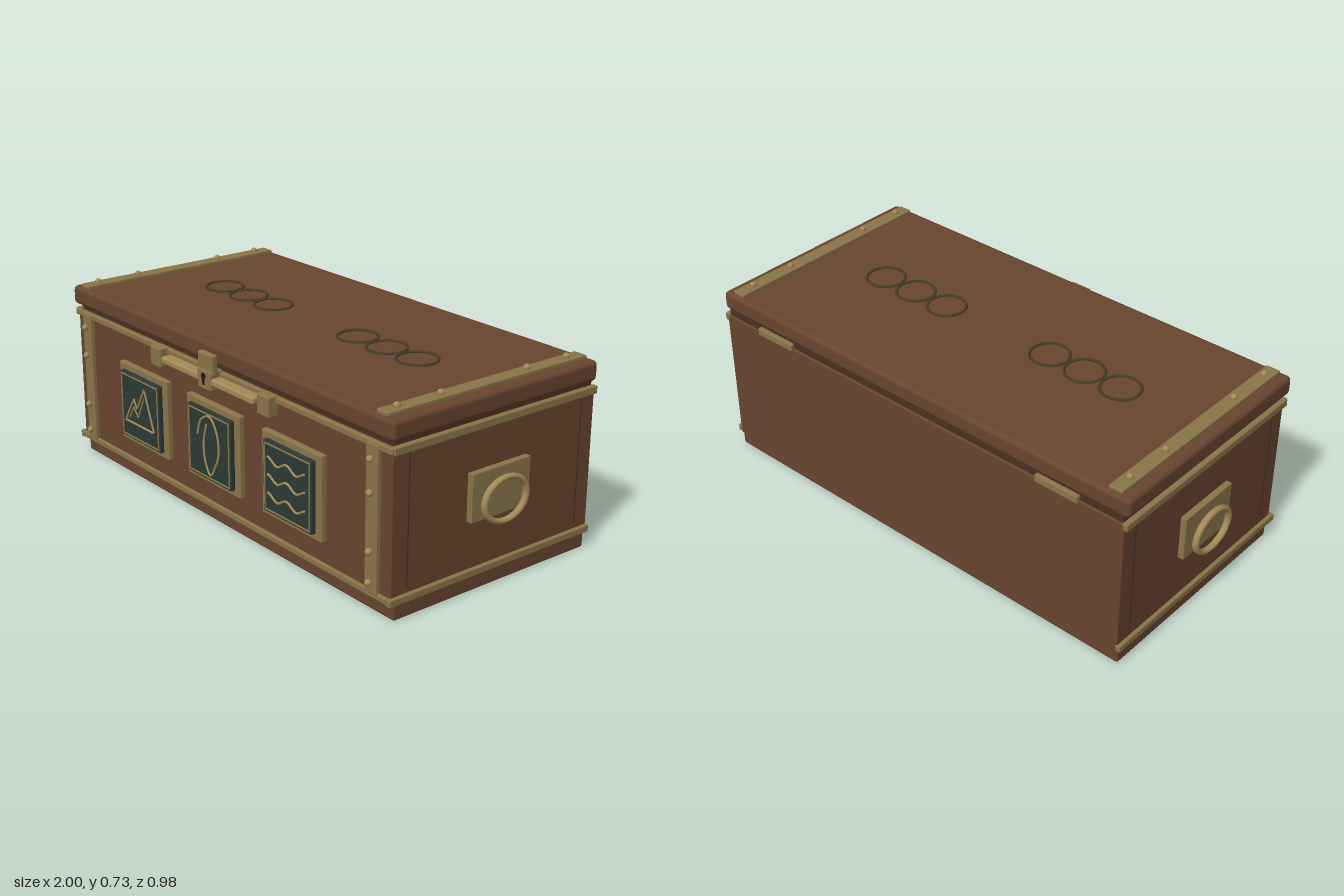
import * as THREE from 'three';
import { RoundedBoxGeometry } from 'three/addons/geometries/RoundedBoxGeometry.js';

const mat = (name, color) => {
  const m = new THREE.MeshStandardMaterial({ color });
  m.name = name;
  return m;
};

export function createModel() {
  const root = new THREE.Group();
  root.name = 'chest';
  const wood = mat('brown wood', 0x68452f);
  const seamWood = mat('dark wood', 0x4a3122);
  const brass = mat('aged brass', 0x8a7549);
  const gold = mat('bright brass', 0xa58a58);
  const slate = mat('dark green slate', 0x2c3a34);
  const carve = mat('dark bronze inlay', 0x453d28);
  const black = mat('keyhole black', 0x1c1a16);

  const add = (name, geo, material, parent = root) => {
    const m = new THREE.Mesh(geo, material);
    m.name = name;
    parent.add(m);
    return m;
  };
  // Rounded box given by its limits on each axis
  const block = (name, [x0, x1], [y0, y1], [z0, z1], material, r = 0.005, parent = root) => {
    const m = add(name, new RoundedBoxGeometry(x1 - x0, y1 - y0, z1 - z0, 2, r), material, parent);
    m.position.set((x0 + x1) / 2, (y0 + y1) / 2, (z0 + z1) / 2);
    return m;
  };
  const stud = (x, y, z, parent = root) =>
    add('stud', new THREE.SphereGeometry(0.0125, 12, 8), gold, parent).position.set(x, y, z);
  // Thin raised line through 2D points
  const line = (name, pts, material, parent, { r = 0.0045, closed = false, sharp = false } = {}) => {
    const v = pts.map(([x, y]) => new THREE.Vector3(x, y, 0));
    let path = new THREE.CatmullRomCurve3(v, closed);
    if (sharp) {
      path = new THREE.CurvePath();
      v.forEach((p, i) => i && path.add(new THREE.LineCurve3(v[i - 1], p)));
    }
    return add(name, new THREE.TubeGeometry(path, 60, r, 6, closed), material, parent);
  };

  // Case and lid
  block('base', [-0.943, 0.943], [0, 0.07], [-0.475, 0.417], wood, 0.008);
  block('body', [-0.943, 0.943], [0.055, 0.605], [-0.483, 0.433], wood, 0.006);
  block('rim', [-0.935, 0.935], [0.59, 0.635], [-0.475, 0.42], seamWood, 0.004);
  block('lid', [-0.957, 0.957], [0.626, 0.701], [-0.48, 0.448], wood, 0.018);

  // Front bands
  block('frontLowerBand', [-0.95, 0.95], [0.062, 0.086], [0.425, 0.444], brass);
  block('frontUpperBand', [-0.95, 0.95], [0.583, 0.607], [0.425, 0.444], brass);

  for (const s of [-1, 1]) {
    const span = (a, b) => (s > 0 ? [a, b] : [-b, -a]);
    // Bands and panel seams on the ends
    block('endLowerBand', span(0.935, 0.957), [0.06, 0.088], [-0.484, 0.447], brass);
    block('endUpperBand', span(0.935, 0.957), [0.58, 0.61], [-0.483, 0.436], brass);
    for (const z of [0.364, -0.418])
      block('endSeam', span(0.94, 0.945), [0.105, 0.58], [z - 0.003, z + 0.003], seamWood, 0.001);

    // Studded straps on the front and lid
    block('frontStrap', span(0.832, 0.89), [0.08, 0.6], [0.425, 0.449], brass, 0.004);
    for (const y of [0.55, 0.435, 0.23, 0.12]) stud(s * 0.861, y, 0.457);
    block('lidStrap', span(0.86, 0.916), [0.69, 0.713], [-0.463, 0.432], brass, 0.004);
    for (const z of [0.372, 0.187, -0.2, -0.39]) stud(s * 0.888, 0.717, z);

    // End plate with oval pull ring
    block('handlePlate', span(0.94, 0.966), [0.262, 0.438], [-0.16, 0.107], brass, 0.004);
    const ring = add('handleRing', new THREE.TorusGeometry(0.096, 0.0125, 10, 40), gold);
    ring.scale.y = 0.81;
    ring.rotation.y = Math.PI / 2;
    ring.position.set(s * 0.9865, 0.325, -0.027);

    // Back hinges
    block('hinge', span(0.58, 0.76), [0.595, 0.625], [-0.491, -0.465], brass);

    // Three linked circles inlaid in the lid
    const inlay = new THREE.Group();
    inlay.name = 'lidInlay';
    inlay.position.set(s * 0.405 + 0.005, 0.703, -0.005);
    root.add(inlay);
    for (const i of [-1, 0, 1]) {
      const c = add('inlayRing', new THREE.TorusGeometry(0.073, 0.0055, 6, 32), carve, inlay);
      c.rotation.x = Math.PI / 2;
      c.position.x = i * 0.157;
    }
  }

  // Framed plaques on the front, each with its own motif
  const motifs = [
    g => {
      line('mountains', [[-0.1, -0.062], [-0.04, 0.036], [-0.018, 0.002], [0.036, 0.095],
        [0.096, -0.062], [-0.1, -0.062]], gold, g, { sharp: true });
      line('ridge', [[-0.07, -0.045], [-0.04, 0.005], [-0.012, -0.03], [0.034, 0.06]],
        gold, g, { sharp: true, r: 0.003 });
    },
    g => line('leaf', [[-0.068, 0.03], [-0.045, 0.09], [0.01, 0.115], [0.052, 0.065], [0.062, -0.01],
      [0.035, -0.075], [0.008, -0.11], [-0.022, -0.065], [-0.03, 0.005], [-0.01, 0.085]], gold, g),
    g => {
      for (const y of [0.065, 0, -0.068]) {
        const pts = Array.from({ length: 17 }, (_, i) =>
          [-0.105 + i * 0.0131, y + 0.011 * Math.cos(i * Math.PI / 4)]);
        line('wave', pts, gold, g);
      }
    },
  ];
  motifs.forEach((draw, i) => {
    const g = new THREE.Group();
    g.name = 'plaque';
    g.position.set((i - 1) * 0.455, 0.322, 0);
    root.add(g);
    block('plaqueFrame', [-0.163, 0.163], [-0.157, 0.157], [0.425, 0.454], brass, 0.006, g);
    block('plaquePanel', [-0.132, 0.132], [-0.132, 0.132], [0.44, 0.471], slate, 0.003, g);
    for (const s of [-0.122, 0.122]) {
      block('plaqueBorder', [-0.125, 0.125], [s - 0.003, s + 0.003], [0.465, 0.474], brass, 0.001, g);
      block('plaqueBorder', [s - 0.003, s + 0.003], [-0.125, 0.125], [0.465, 0.474], brass, 0.001, g);
    }
    const motif = new THREE.Group();
    motif.name = 'motif';
    motif.position.z = 0.473;
    g.add(motif);
    draw(motif);
  });

  // Latch: bar, end brackets, hasp and keyhole
  block('latchBar', [-0.28, 0.28], [0.562, 0.59], [0.435, 0.483], gold, 0.009);
  for (const x of [-0.328, 0.328])
    block('latchBracket', [x - 0.033, x + 0.033], [0.537, 0.612], [0.43, 0.476], brass, 0.006);
  block('hasp', [-0.045, 0.045], [0.595, 0.675], [0.455, 0.481], brass, 0.007);
  block('lockPlate', [-0.04, 0.04], [0.542, 0.615], [0.43, 0.487], brass, 0.006);
  const hole = add('keyhole', new THREE.CylinderGeometry(0.012, 0.012, 0.006, 16), black);
  hole.rotation.x = Math.PI / 2;
  hole.position.set(0, 0.592, 0.487);
  block('keySlot', [-0.005, 0.005], [0.56, 0.59], [0.484, 0.49], black, 0.001);

  return root;
}
